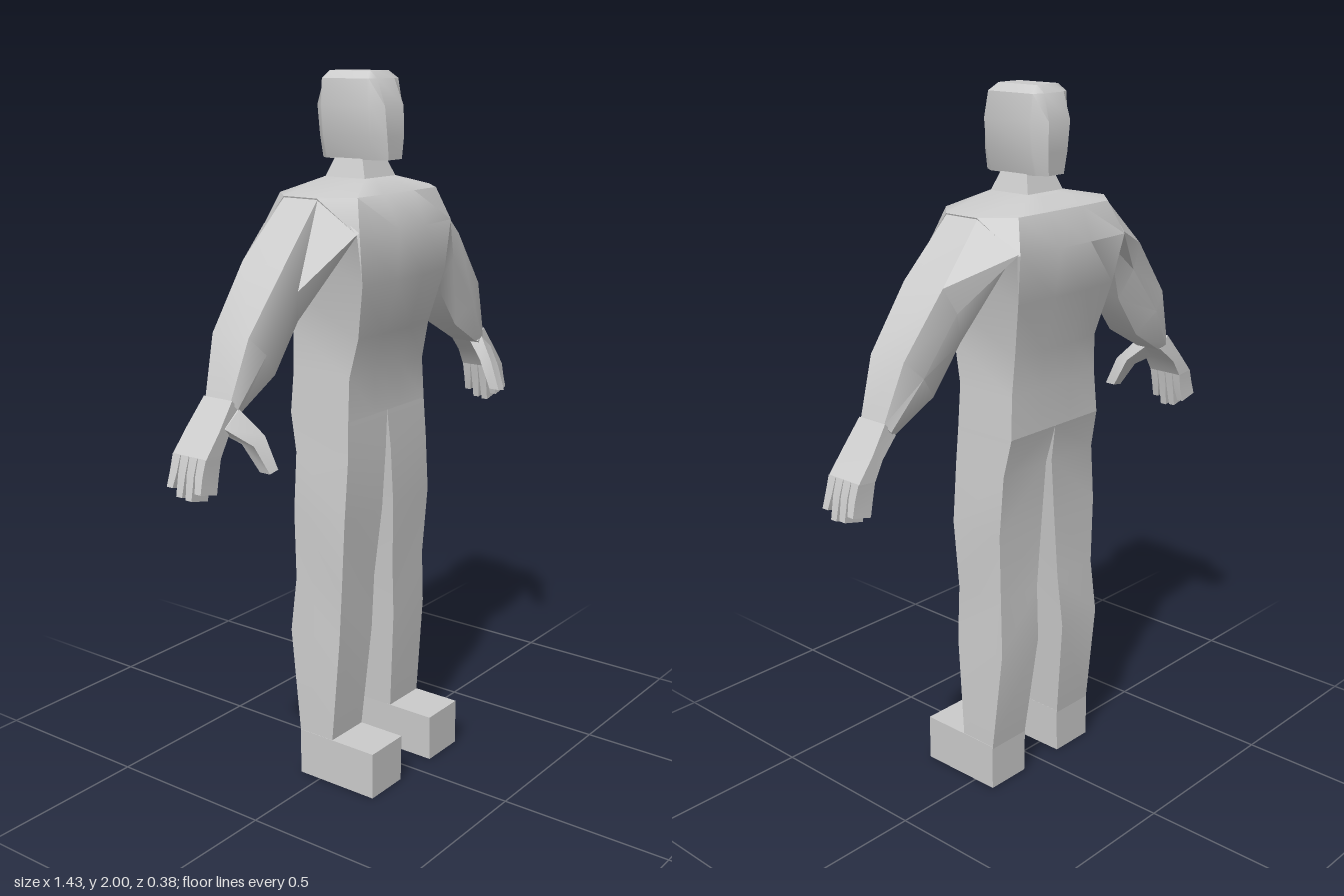
import * as THREE from 'three';
import { toCreasedNormals } from 'three/addons/utils/BufferGeometryUtils.js';

const material = new THREE.MeshStandardMaterial({ color: 0xcccccc });

// Skin a row of convex rings (each a list of [x, y, z]) and cap both ends.
function loft(name, rings, side = 1) {
  const pts = rings.flat().map(([x, y, z]) => new THREE.Vector3(x * side, y, z));
  const n = rings[0].length, last = (rings.length - 1) * n, index = [];
  for (let r = 0; r < last; r += n) {
    for (let i = 0; i < n; i++) {
      const j = (i + 1) % n;
      index.push(r + i, r + j, r + n + j, r + i, r + n + j, r + n + i);
    }
  }
  for (let i = 1; i < n - 1; i++) index.push(0, i + 1, i, last, last + i, last + i + 1);
  // Turn the faces outward whatever the ring direction
  let volume = 0;
  const cross = new THREE.Vector3();
  for (let i = 0; i < index.length; i += 3) {
    volume += pts[index[i]].dot(cross.crossVectors(pts[index[i + 1]], pts[index[i + 2]]));
  }
  if (volume < 0) index.reverse();
  const geometry = new THREE.BufferGeometry().setFromPoints(pts);
  geometry.setIndex(index);
  const mesh = new THREE.Mesh(toCreasedNormals(geometry, 0.6), material);
  mesh.name = name;
  return mesh;
}

// Level rectangle
const rect = (y, x0, x1, z0, z1) => [[x0, y, z0], [x1, y, z0], [x1, y, z1], [x0, y, z1]];

// Level symmetric ring: widths at side, corner and middle, with front and back depths
function bodyRing([y, widths, front, back]) {
  const f = widths.map((w, i) => [w, y, front[i]]);
  const b = widths.map((w, i) => [w, y, back[i]]);
  const mirror = (list) => list.map(([x, py, z]) => [-x, py, z]);
  return [...f, ...mirror(f).reverse(), ...mirror(b), ...b.reverse()];
}

// Six-sided limb ring: top, middle and bottom points [x, y, front z, back z]
const limbRing = (t, m, b) => [
  [t[0], t[1], t[2]], [m[0], m[1], m[2]], [b[0], b[1], b[2]],
  [b[0], b[1], b[3]], [m[0], m[1], m[3]], [t[0], t[1], t[3]],
];

// Four-sided ring across a hand, from outer [x, y] to inner [x, y]
const handRing = (o, i, zf, zb) => [[...o, zf], [...i, zf], [...i, zb], [...o, zb]];

function createArm(s) {
  const arm = new THREE.Group();
  arm.name = s > 0 ? 'leftArm' : 'rightArm';
  arm.add(loft('sleeve', [
    limbRing([0.25, 1.685, 0.04, -0.07], [0.212, 1.6, 0.143, -0.178], [0.212, 1.56, 0.11, -0.13]),
    limbRing([0.4, 1.53, 0.05, -0.09], [0.36, 1.46, 0.06, -0.1], [0.325, 1.375, 0.03, -0.075]),
    limbRing([0.53, 1.365, 0.04, -0.08], [0.48, 1.315, 0.055, -0.098], [0.42, 1.25, 0.03, -0.07]),
    limbRing([0.585, 1.21, 0.025, -0.06], [0.57, 1.19, 0.035, -0.07], [0.55, 1.175, 0.025, -0.06]),
  ], s));
  arm.add(loft('palm', [
    handRing([0.585, 1.215], [0.55, 1.178], 0.03, -0.065),
    handRing([0.64, 1.145], [0.605, 1.13], 0.034, -0.075),
    handRing([0.69, 1.085], [0.635, 1.08], 0.034, -0.078),
  ], s));
  // Fingers, slightly splayed and of differing length
  [0, 0.022, 0.018, -0.002].forEach((extra, i) => {
    const z = 0.021 - i * 0.0285, tip = z + (1.5 - i) * 0.003, y = 0.995 - extra;
    arm.add(loft('finger', [
      handRing([0.69, 1.087], [0.635, 1.082], z + 0.013, z - 0.013),
      handRing([0.703, 1.045], [0.645, 1.03], z + 0.012, z - 0.012),
      handRing([0.714, y + 0.008], [0.655, y - 0.006], tip + 0.01, tip - 0.01),
    ], s));
  });
  arm.add(loft('thumb', [
    handRing([0.62, 1.15], [0.565, 1.19], 0.035, -0.02),
    handRing([0.575, 1.105], [0.533, 1.125], 0.09, 0.05),
    handRing([0.557, 1.035], [0.525, 1.04], 0.125, 0.092),
  ], s));
  return arm;
}

function createLeg(s) {
  const leg = new THREE.Group();
  leg.name = s > 0 ? 'leftLeg' : 'rightLeg';
  leg.add(loft('trouserLeg', [
    rect(1.08, 0, 0.18, -0.118, 0.082),
    rect(0.97, 0.012, 0.187, -0.095, 0.086),
    rect(0.8, 0.027, 0.202, -0.093, 0.085),
    rect(0.6, 0.045, 0.197, -0.092, 0.071),
    rect(0.44, 0.054, 0.207, -0.105, 0.069),
    rect(0.13, 0.073, 0.212, -0.07, 0.045),
  ], s));
  leg.add(loft('foot', [
    rect(0, 0.075, 0.213, -0.07, 0.19),
    rect(0.137, 0.072, 0.213, -0.07, 0.19),
  ], s));
  return leg;
}

export function createModel() {
  const model = new THREE.Group();
  model.name = 'figure';

  model.add(loft('torso', [
    [1.08, [0.18, 0.18, 0.06], [0.082, 0.082, 0.082], [-0.118, -0.118, -0.118]],
    [1.2, [0.172, 0.172, 0.06], [0.08, 0.08, 0.083], [-0.113, -0.113, -0.118]],
    [1.31, [0.165, 0.165, 0.06], [0.105, 0.105, 0.115], [-0.118, -0.118, -0.13]],
    [1.46, [0.193, 0.193, 0.06], [0.14, 0.14, 0.158], [-0.155, -0.155, -0.165]],
    [1.595, [0.217, 0.212, 0.06], [0.14, 0.145, 0.163], [-0.174, -0.18, -0.187]],
    [1.685, [0.255, 0.18, 0.07], [0.04, 0.115, 0.118], [-0.07, -0.145, -0.147]],
    [1.722, [0.075, 0.07, 0.03], [0.05, 0.058, 0.058], [-0.07, -0.08, -0.08]],
  ].map(bodyRing)));

  model.add(loft('neck', [
    rect(1.715, -0.072, 0.072, -0.08, 0.058),
    rect(1.78, -0.05, 0.05, -0.055, 0.032),
  ]));

  model.add(loft('head', [
    [1.77, [0.052, 0.05, 0.03], [0.07, 0.075, 0.105], [-0.085, -0.09, -0.115]],
    [1.83, [0.068, 0.066, 0.038], [0.07, 0.075, 0.106], [-0.085, -0.09, -0.12]],
    [1.91, [0.075, 0.073, 0.042], [0.07, 0.075, 0.101], [-0.085, -0.09, -0.125]],
    [1.98, [0.068, 0.066, 0.038], [0.062, 0.066, 0.073], [-0.085, -0.09, -0.105]],
    [2.0, [0.042, 0.041, 0.025], [0.05, 0.052, 0.055], [-0.08, -0.083, -0.085]],
  ].map(bodyRing)));

  for (const s of [1, -1]) model.add(createArm(s), createLeg(s));
  return model;
}
